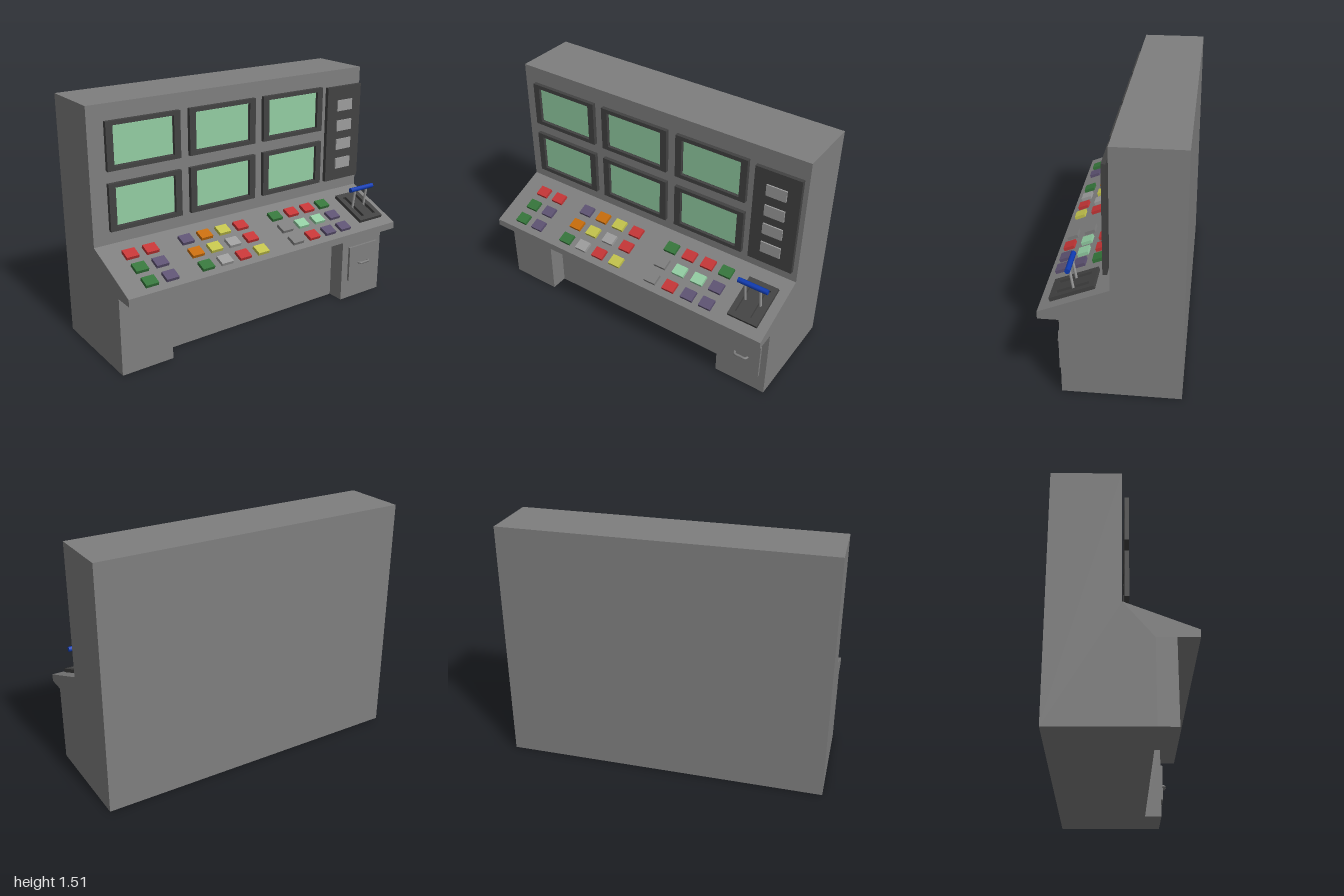
import * as THREE from 'three';

const palette = {
  body: 0x7e7e7e, charcoal: 0x424242, mint: 0x92cca2, red: 0xc43536, green: 0x35753b,
  purple: 0x5d5272, yellow: 0xc2c24c, orange: 0xc66c0a, silver: 0x9c9c9c, blue: 0x0f3cb4,
};
const mats = {};
for (const [name, color] of Object.entries(palette)) {
  mats[name] = new THREE.MeshStandardMaterial({ color });
  mats[name].name = name;
}

function add(parent, name, geometry, mat) {
  const mesh = new THREE.Mesh(geometry, mats[mat]);
  mesh.name = name;
  parent.add(mesh);
  return mesh;
}

// Box given by its minimum and maximum corners
function box(parent, name, mat, [x0, y0, z0], [x1, y1, z1]) {
  const g = new THREE.BoxGeometry(x1 - x0, y1 - y0, z1 - z0);
  g.translate((x0 + x1) / 2, (y0 + y1) / 2, (z0 + z1) / 2);
  return add(parent, name, g, mat);
}

const rectPoints = (w, h, cx = 0, cy = 0) =>
  [[-1, -1], [1, -1], [1, 1], [-1, 1]].map(([a, b]) => new THREE.Vector2(cx + a * w / 2, cy + b * h / 2));

// Rectangular plate with rectangular holes, extruded towards +z
function plate(w, h, depth, holes) {
  const shape = new THREE.Shape(rectPoints(w, h));
  for (const hole of holes) shape.holes.push(new THREE.Path(rectPoints(...hole)));
  return new THREE.ExtrudeGeometry(shape, { depth, bevelEnabled: false });
}

export function createModel() {
  const model = new THREE.Group();
  model.name = 'controlConsole';

  // Cabinet: side profile carried along the whole length
  const profile = [[-0.4, 0], [0.17, 0], [0.17, 0.485], [0.4, 0.485], [0.4, 0.53], [0, 0.692], [0, 1.515], [-0.4, 1.515]];
  const cabinet = new THREE.ExtrudeGeometry(
    new THREE.Shape(profile.map(p => new THREE.Vector2(...p))), { depth: 2, bevelEnabled: false });
  cabinet.translate(0, 0, -1);
  add(model, 'cabinet', cabinet, 'body');
  box(model, 'legLeft', 'body', [0.17, 0, 0.665], [0.28, 0.485, 1]);
  box(model, 'legRight', 'body', [0.17, 0, -1], [0.28, 0.485, -0.66]);

  // Drawer with arched handle
  box(model, 'drawer', 'body', [0.28, 0.13, -0.96], [0.296, 0.372, -0.712]);
  const arch = new THREE.CatmullRomCurve3([[0.294, -0.88], [0.312, -0.872], [0.314, -0.836], [0.312, -0.8], [0.294, -0.792]]
    .map(([x, z]) => new THREE.Vector3(x, 0.25, z)));
  add(model, 'drawerHandle', new THREE.TubeGeometry(arch, 16, 0.008, 8), 'body');

  // Six monitors: frame with a recessed pane
  for (const y of [1.28, 0.922]) for (const z of [0.668, 0.13, -0.408]) {
    const monitor = new THREE.Group();
    monitor.name = 'monitor';
    monitor.position.set(0.015, y, z);
    model.add(monitor);
    const frame = plate(0.475, 0.285, 0.025, [[0.39, 0.235]]);
    frame.rotateY(Math.PI / 2);
    add(monitor, 'monitorFrame', frame, 'charcoal');
    box(monitor, 'monitorBack', 'charcoal', [0.001, -0.12, -0.2], [0.006, 0.12, 0.2]);
    box(monitor, 'monitorScreen', 'mint', [0.006, -0.112, -0.19], [0.011, 0.112, 0.19]);
  }

  // Side panel with four keys
  box(model, 'sidePanel', 'charcoal', [0.015, 0.775, -0.978], [0.04, 1.412, -0.692]);
  for (const y of [1.286, 1.15, 1.022, 0.89])
    box(model, 'panelKey', 'silver', [0.038, y - 0.036, -0.898], [0.049, y + 0.036, -0.772]);

  // Sloping desk: local x runs down the slope, y is its normal
  const desk = new THREE.Group();
  desk.name = 'deskControls';
  desk.position.set(0, 0.692, 0);
  desk.rotation.z = -Math.atan2(0.162, 0.4);
  model.add(desk);

  const rows = [
    [-0.602, 'green', 'purple', 'purple'], [-0.475, 'red', 'mint', 'purple'],
    [-0.342, 'red', 'mint', 'red'], [-0.21, 'green', 'body', 'body'],
    [0.061, 'red', 'red', 'yellow'], [0.194, 'yellow', 'silver', 'red'],
    [0.326, 'orange', 'yellow', 'silver'], [0.457, 'purple', 'orange', 'green'],
    [0.698, 'red', 'purple', 'purple'], [0.83, 'red', 'green', 'green'],
  ];
  for (const [z, ...colours] of rows) colours.forEach((colour, i) => {
    const u = 0.12 + i * 0.117;
    box(desk, 'button', colour, [u - 0.034, -0.004, z - 0.04], [u + 0.034, 0.02, z + 0.04]);
  });

  // Slotted base of the levers
  const leverBase = plate(0.27, 0.194, 0.021, [[0.2, 0.027, 0, 0.05], [0.2, 0.027, 0, -0.05]]);
  leverBase.rotateX(-Math.PI / 2);
  add(desk, 'leverBase', leverBase, 'charcoal').position.set(0.227, 0.004, -0.843);
  box(desk, 'slotFloor', 'charcoal', [0.095, 0.001, -0.937], [0.36, 0.006, -0.75]);

  // Twin levers joined by one grip
  for (const z of [-0.79, -0.89]) {
    const line = new THREE.LineCurve3(new THREE.Vector3(0.211, 0.6, z), new THREE.Vector3(0.235, 0.757, z));
    add(model, 'leverShaft', new THREE.TubeGeometry(line, 1, 0.008, 8), 'silver');
  }
  const grip = new THREE.CylinderGeometry(0.016, 0.016, 0.194, 8);
  grip.rotateX(Math.PI / 2);
  add(model, 'leverGrip', grip, 'blue').position.set(0.235, 0.757, -0.842);

  return model;
}
